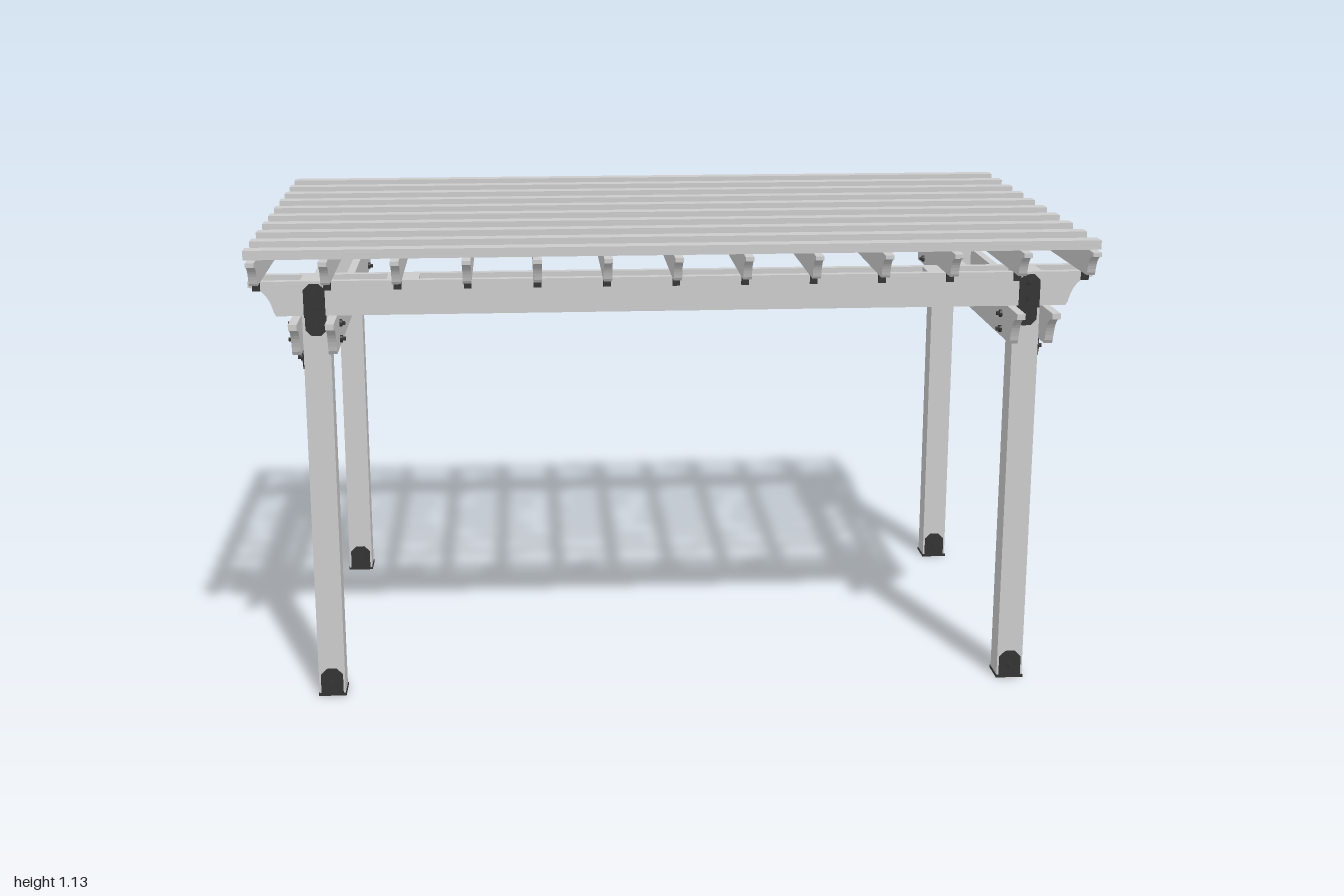
import * as THREE from 'three';

const wood = new THREE.MeshStandardMaterial({ color: 0xcccccc, flatShading: true });
const metal = new THREE.MeshStandardMaterial({ color: 0x333333, flatShading: true });

const POST_X = 0.848, POST_Z = 0.472, POST_W = 0.064;
const PLANK = 0.02;
const SIDE_Y = 0.877, MAIN_Y = 0.962, RAFTER_Y = 1.044, SLAT_Y = 1.106;

export function createModel() {
  const model = new THREE.Group();
  model.name = 'pergola';

  const add = (parent, name, geometry, material, x, y, z) => {
    const mesh = new THREE.Mesh(geometry, material);
    mesh.name = name;
    mesh.position.set(x, y, z);
    parent.add(mesh);
    return mesh;
  };
  const box = (parent, name, w, h, d, x, y, z, material = wood) =>
    add(parent, name, new THREE.BoxGeometry(w, h, d), material, x, y, z);

  // Plank standing on edge, with a scooped cove under each end; runs along x, base at y = 0
  const covedPlank = (half, h, scoop) => {
    const s = new THREE.Shape();
    const nose = h * 0.84;
    s.moveTo(-half + scoop, 0);
    s.lineTo(half - scoop, 0);
    s.lineTo(half - scoop * 0.92, h * 0.1);
    s.quadraticCurveTo(half - scoop * 0.72, nose * 0.85, half - scoop * 0.25, nose * 0.95);
    s.lineTo(half, nose);
    s.lineTo(half, h);
    s.lineTo(-half, h);
    s.lineTo(-half, nose);
    s.lineTo(-half + scoop * 0.25, nose * 0.95);
    s.quadraticCurveTo(-half + scoop * 0.72, nose * 0.85, -half + scoop * 0.92, h * 0.1);
    s.closePath();
    const g = new THREE.ExtrudeGeometry(s, { depth: PLANK, bevelEnabled: false, curveSegments: 8 });
    return g.translate(0, 0, -PLANK / 2);
  };

  // Flat metal plate facing z with clipped corners at the top and/or bottom
  const clippedPlate = (w, h, top, bottom) => {
    const a = w / 2, c = w * 0.28;
    const s = new THREE.Shape();
    s.moveTo(-a + (bottom ? c : 0), 0);
    s.lineTo(a - (bottom ? c : 0), 0);
    if (bottom) s.lineTo(a, c);
    s.lineTo(a, h - (top ? c : 0));
    if (top) { s.lineTo(a - c, h); s.lineTo(-a + c, h); }
    s.lineTo(-a, h - (top ? c : 0));
    if (bottom) s.lineTo(-a, c);
    s.closePath();
    return new THREE.ExtrudeGeometry(s, { depth: 0.004, bevelEnabled: false });
  };

  // Bolt head with a narrower nut, pointing along +z
  const bolt = (parent, y, z) => {
    const washer = add(parent, 'washer', new THREE.CylinderGeometry(0.009, 0.009, 0.006, 10), metal, 0, y, z + 0.003);
    const nut = add(parent, 'nut', new THREE.CylinderGeometry(0.005, 0.005, 0.008, 6), metal, 0, y, z + 0.009);
    washer.rotation.x = nut.rotation.x = Math.PI / 2;
  };

  // Beam connector: local +z points away from the post centre
  const connector = (name, x, z, angle, beamY, outer) => {
    const g = new THREE.Group();
    g.name = name;
    g.position.set(x, beamY, z);
    g.rotation.y = angle;
    const postFace = POST_W / 2, beamFace = postFace + PLANK;
    if (outer) {
      add(g, 'beamPlate', clippedPlate(0.05, 0.076, true, false), metal, 0, 0, beamFace);
      add(g, 'postPlate', clippedPlate(0.05, 0.052, false, true), metal, 0, -0.052, postFace);
      box(g, 'plateStep', 0.05, 0.004, PLANK + 0.004, 0, -0.002, postFace + PLANK / 2 + 0.002, metal);
      bolt(g, -0.025, postFace + 0.004);
    }
    for (const y of [0.018, 0.056]) bolt(g, y, beamFace + (outer ? 0.004 : 0));
    model.add(g);
  };

  // Posts with metal feet and beam connectors
  for (const sx of [-1, 1]) for (const sz of [-1, 1]) {
    const x = sx * POST_X, z = sz * POST_Z;
    box(model, 'post', POST_W, RAFTER_Y - 0.006, POST_W, x, 0.006 + (RAFTER_Y - 0.006) / 2, z);

    const foot = new THREE.Group();
    foot.name = 'postFoot';
    foot.position.set(x, 0, z);
    box(foot, 'footPlate', POST_W + 0.004, 0.006, POST_W + 0.008, 0, 0.003, 0, metal);
    for (const angle of [0, Math.PI]) {
      const side = new THREE.Group();
      side.name = 'footFlange';
      side.rotation.y = angle;
      add(side, 'flange', clippedPlate(0.054, 0.07, true, false), metal, 0, 0, POST_W / 2);
      bolt(side, 0.032, POST_W / 2 + 0.004);
      foot.add(side);
    }
    model.add(foot);

    for (const dir of [-1, 1]) {
      connector('mainBeamConnector', x, z, dir > 0 ? 0 : Math.PI, MAIN_Y, dir === sz);
      connector('sideBeamConnector', x, z, dir * Math.PI / 2, SIDE_Y, dir === sx);
    }

    // Spacer blocks between the paired beams
    box(model, 'mainBeamSpacer', 0.075, RAFTER_Y - MAIN_Y, POST_W, sx * 0.642, (RAFTER_Y + MAIN_Y) / 2, z);
    box(model, 'sideBeamSpacer', POST_W, MAIN_Y - SIDE_Y, 0.05, x, (MAIN_Y + SIDE_Y) / 2, sz * 0.272);
  }

  // Paired beams clasping the posts
  const offset = (POST_W + PLANK) / 2;
  const mainBeam = covedPlank(1, RAFTER_Y - MAIN_Y, 0.063);
  const sideBeam = covedPlank(0.623, MAIN_Y - SIDE_Y, 0.065).rotateY(Math.PI / 2);
  for (const s of [-1, 1]) for (const o of [-offset, offset]) {
    add(model, 'mainBeam', mainBeam, wood, 0, MAIN_Y, s * POST_Z + o);
    add(model, 'sideBeam', sideBeam, wood, s * POST_X + o, SIDE_Y, 0);
  }

  // Rafters, tied to the outer main beams
  const rafter = covedPlank(0.623, SLAT_Y - RAFTER_Y, 0.05).rotateY(Math.PI / 2);
  for (let i = 0; i < 13; i++) {
    const x = -0.98 + i * (1.96 / 12);
    add(model, 'rafter', rafter, wood, x, RAFTER_Y, 0);
    for (const s of [-1, 1]) box(model, 'rafterTie', 0.018, 0.022, 0.006, x, RAFTER_Y - 0.01, s * (POST_Z + offset + 0.013), metal);
  }

  // Top slats
  for (let i = 0; i < 10; i++) {
    box(model, 'slat', 2, 0.022, 0.04, 0, SLAT_Y + 0.011, -0.5625 + i * 0.125);
  }

  return model;
}
